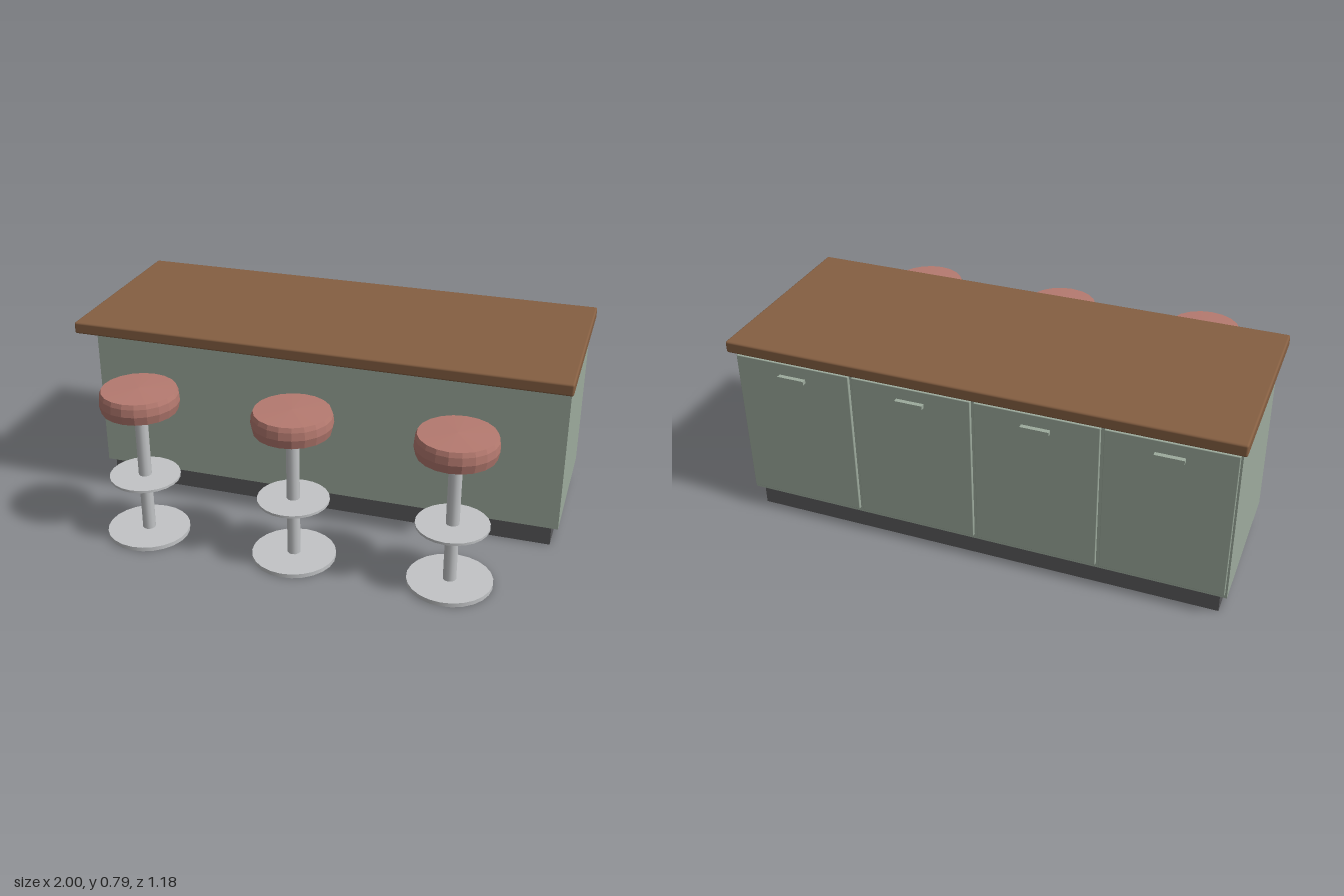
import * as THREE from 'three';
import { RoundedBoxGeometry } from 'three/addons/geometries/RoundedBoxGeometry.js';

const material = (name, color, flatShading = false) => {
  const m = new THREE.MeshStandardMaterial({ color, flatShading });
  m.name = name;
  return m;
};

export function createModel() {
  const wood = material('brown wood', 0x855f42);
  const green = material('sage green paint', 0x9dab9d);
  const dark = material('dark plinth', 0x5a5a5c);
  const metal = material('brushed metal', 0xc2c4c6);
  const leather = material('dusty red upholstery', 0xb57a70, true);

  const model = new THREE.Group();
  model.name = 'kitchenIslandWithStools';

  const add = (parent, name, geometry, mat, x, y, z) => {
    const mesh = new THREE.Mesh(geometry, mat);
    mesh.name = name;
    mesh.position.set(x, y, z);
    parent.add(mesh);
    return mesh;
  };

  // Box or rounded box given by its y and z limits, centred on x
  const slab = (parent, name, mat, width, y0, y1, z0, z1, x = 0, radius = 0) => {
    const size = [width, y1 - y0, z1 - z0];
    const geometry = radius
      ? new RoundedBoxGeometry(...size, 2, radius)
      : new THREE.BoxGeometry(...size);
    return add(parent, name, geometry, mat, x, (y0 + y1) / 2, (z0 + z1) / 2);
  };

  // Island: plinth, cabinet body and overhanging worktop
  const island = new THREE.Group();
  island.name = 'island';
  model.add(island);
  slab(island, 'plinth', dark, 1.91, 0, 0.085, -0.531, 0.052);
  slab(island, 'cabinet', green, 1.965, 0.085, 0.737, -0.549, 0.067);
  slab(island, 'worktop', wood, 2, 0.737, 0.785, -0.589, 0.216, 0, 0.008);

  // Four doors with bar handles along the back
  for (let i = 0; i < 4; i++) {
    const x = (i - 1.5) * 0.491;
    slab(island, 'door', green, 0.477, 0.105, 0.718, -0.564, -0.549, x, 0.003);
    slab(island, 'doorHandle', green, 0.11, 0.653, 0.669, -0.582, -0.564, x);
  }

  // Padded seat profile, from the underside centre to the top centre
  const seatProfile = [
    [0, 0.552], [0.149, 0.552], [0.157, 0.587], [0.154, 0.618],
    [0.147, 0.636], [0, 0.641],
  ].map(([r, y]) => new THREE.Vector2(r, y));

  // Upright disc or post between two heights
  const disc = (parent, name, radius, y0, y1, sides) =>
    add(parent, name, new THREE.CylinderGeometry(radius, radius, y1 - y0, sides),
      metal, 0, (y0 + y1) / 2, 0);

  // Three bar stools in front
  for (const x of [-0.625, 0, 0.625]) {
    const stool = new THREE.Group();
    stool.name = 'stool';
    stool.position.set(x, 0, 0.425);
    disc(stool, 'stoolBase', 0.166, 0, 0.017, 24);
    disc(stool, 'stoolPost', 0.026, 0.017, 0.555, 12);
    disc(stool, 'footRest', 0.141, 0.252, 0.262, 24);
    add(stool, 'seat', new THREE.LatheGeometry(seatProfile, 20), leather, 0, 0, 0);
    model.add(stool);
  }

  return model;
}
